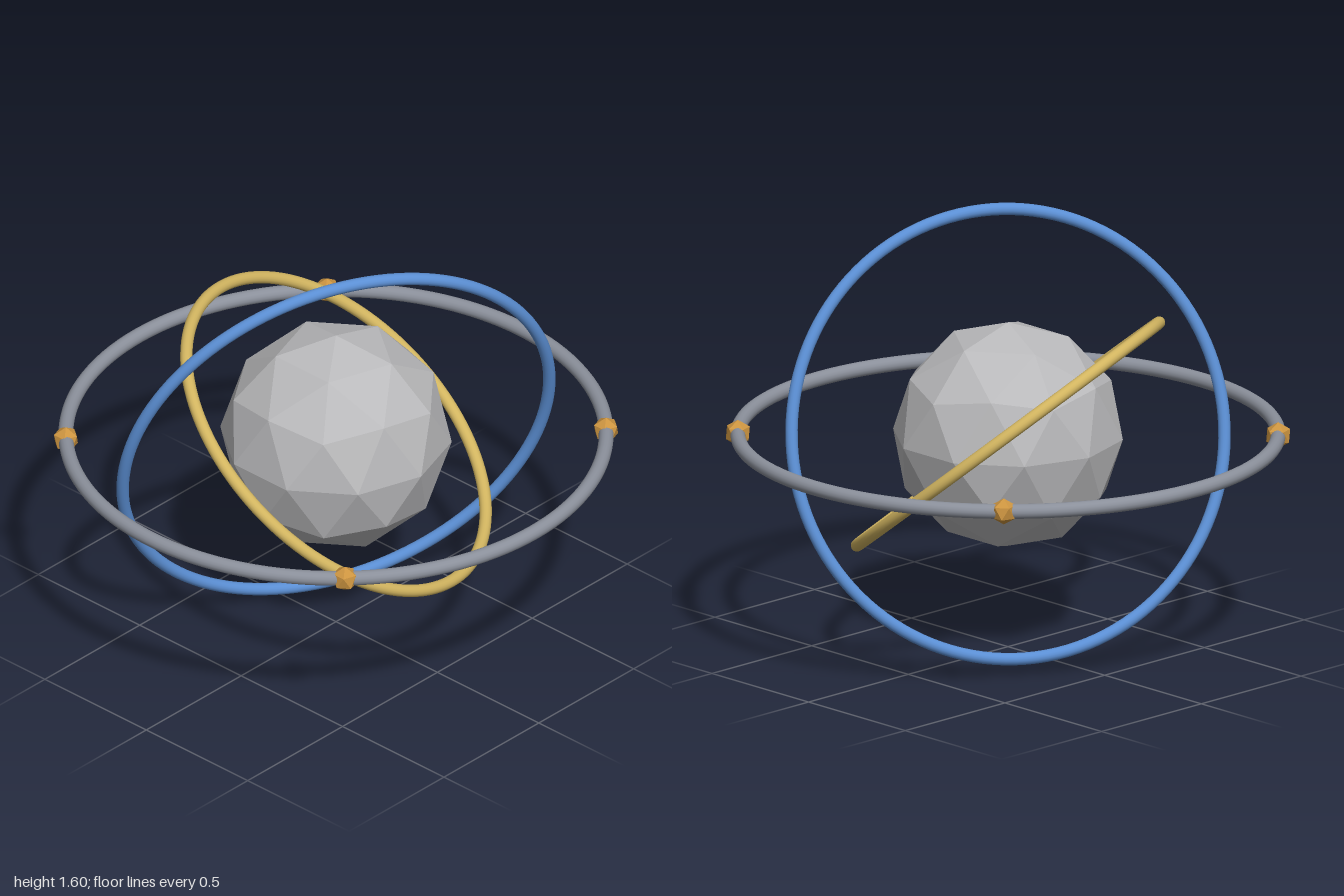
import * as THREE from 'three';

const CENTER_Y = 0.8;
const RING_R = 0.973;

function material(name, color) {
  const m = new THREE.MeshStandardMaterial({ color });
  m.name = name;
  return m;
}

// Faceted ball with a vertex at the top and flat normals
function facetedBall(radius, detail) {
  const g = new THREE.IcosahedronGeometry(radius, detail);
  g.rotateZ(-Math.atan2(1, (1 + Math.sqrt(5)) / 2));
  g.computeVertexNormals();
  return g;
}

// Torus whose axis points along the given direction
function ring(name, radius, tube, axis, mat) {
  const mesh = new THREE.Mesh(new THREE.TorusGeometry(radius, tube, 16, 128), mat);
  mesh.name = name;
  mesh.quaternion.setFromUnitVectors(
    new THREE.Vector3(0, 0, 1),
    new THREE.Vector3(...axis).normalize()
  );
  mesh.position.y = CENTER_Y;
  return mesh;
}

export function createModel() {
  const model = new THREE.Group();
  model.name = 'ringedSphere';

  const stone = material('pale grey', 0xb9b9bb);
  const steel = material('steel grey', 0x8b909b);
  const blue = material('blue', 0x5b8fd4);
  const brass = material('pale gold', 0xd2b560);
  const amber = material('amber', 0xcc9440);

  // Central faceted core
  const core = new THREE.Mesh(facetedBall(0.42, 1), stone);
  core.name = 'core';
  core.position.y = CENTER_Y;
  model.add(core);

  // Three rings around the core
  model.add(
    ring('outerRing', RING_R, 0.027, [0, 1, 0], steel),
    ring('middleRing', 0.811, 0.0225, [0.44, 0.287, -0.85], blue),
    ring('innerRing', 0.676, 0.0225, [0.27, 0.773, 0.574], brass)
  );

  // Four small studs on the outer ring
  const studs = new THREE.Group();
  studs.name = 'studs';
  const studGeometry = facetedBall(0.049, 0);
  const d = RING_R * Math.SQRT1_2;
  for (const x of [-d, d]) {
    for (const z of [-d, d]) {
      const stud = new THREE.Mesh(studGeometry, amber);
      stud.name = 'stud';
      stud.position.set(x, CENTER_Y, z);
      studs.add(stud);
    }
  }
  model.add(studs);

  return model;
}
